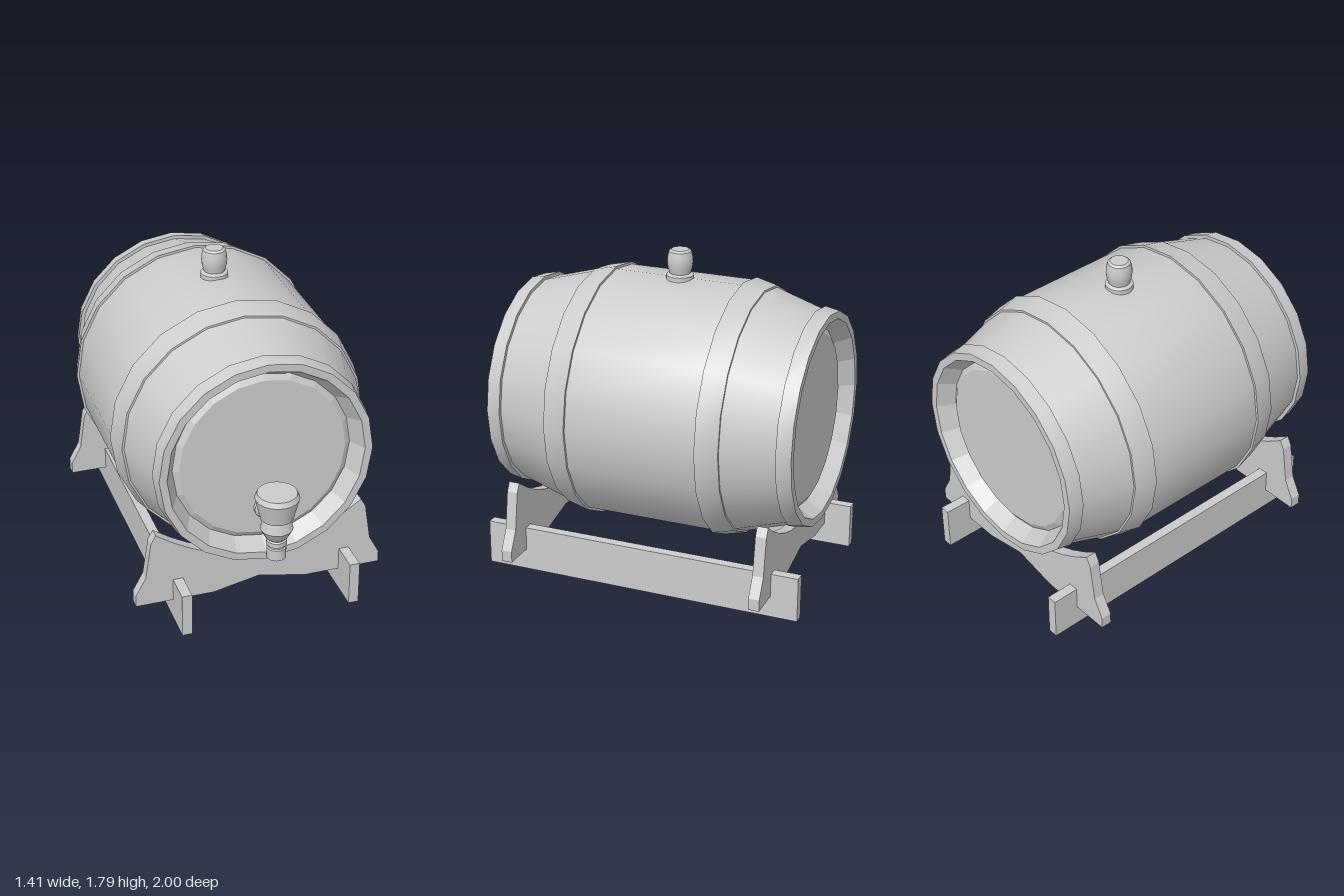
import * as THREE from 'three';
import { toCreasedNormals } from 'three/addons/utils/BufferGeometryUtils.js';

const SIDES = 20;
const AXIS_Y = 0.945;
const smooth = new THREE.MeshStandardMaterial({ color: 0xcccccc });
const flat = new THREE.MeshStandardMaterial({ color: 0xcccccc, flatShading: true });

function addMesh(parent, name, geometry, material = smooth) {
  const mesh = new THREE.Mesh(geometry, material);
  mesh.name = name;
  parent.add(mesh);
  return mesh;
}

// Turned shape from [radius, height] pairs, listed upwards along the outside
function turned(profile, sides = SIDES) {
  const points = profile.map(([r, h]) => new THREE.Vector2(r, h));
  return toCreasedNormals(new THREE.LatheGeometry(points, sides), 0.4);
}

// Turned shape lying along z on the barrel's axis
function lying(profile) {
  return turned(profile).rotateX(Math.PI / 2).translate(0, AXIS_Y, 0);
}

// Band of sloping section, radius r0 at z0 and r1 at z1, closed on the inside
function hoop(z0, r0, z1, r1, thickness) {
  const t = thickness;
  return lying([[r0 - t, z0], [r0, z0], [r1, z1], [r1 - t, z1], [r0 - t, z0]]);
}

function createBarrel() {
  const barrel = new THREE.Group();
  barrel.name = 'barrel';

  addMesh(barrel, 'staves', lying([
    [0.54, -0.955], [0.56, -0.955], [0.577, -0.88], [0.663, -0.6], [0.69, -0.48],
    [0.69, 0.25], [0.663, 0.38], [0.577, 0.68], [0.56, 0.755], [0.54, 0.755],
  ]));

  addMesh(barrel, 'frontEndHoop', hoop(0.68, 0.597, 0.76, 0.582, 0.04));
  addMesh(barrel, 'backEndHoop', hoop(-0.96, 0.582, -0.88, 0.597, 0.04));
  addMesh(barrel, 'frontBellyHoop', hoop(0.25, 0.704, 0.38, 0.674, 0.04));
  addMesh(barrel, 'backBellyHoop', hoop(-0.6, 0.674, -0.48, 0.704, 0.04));

  // Recessed ends: sloping inner rim and a bevelled head
  const rim = [[0.582, 0.76], [0.54, 0.76], [0.487, 0.67]];
  const head = [[0.487, 0.67], [0.455, 0.69], [0, 0.69]];
  for (const [side, isBack] of [['front', false], ['back', true]]) {
    const place = (p) => isBack ? p.map(([r, z]) => [r, -0.2 - z]).reverse() : p;
    addMesh(barrel, side + 'Rim', lying(place(rim)), flat);
    addMesh(barrel, side + 'Head', lying(place(head)), flat);
  }
  return barrel;
}

function createBung() {
  const geometry = turned([
    [0.075, 1.6], [0.075, 1.65], [0.066, 1.657], [0.057, 1.66], [0.066, 1.69],
    [0.07, 1.72], [0.068, 1.75], [0.061, 1.78], [0.048, 1.79], [0, 1.79],
  ]);
  const bung = new THREE.Group();
  addMesh(bung, 'bung', geometry.translate(-0.005, 0, -0.12));
  return bung;
}

function createTap() {
  const tap = new THREE.Group();
  tap.name = 'tap';
  tap.position.set(0.01, 0, 0.882);
  addMesh(tap, 'tapSpoutAndHandle', turned([
    [0, 0.458], [0.052, 0.458], [0.052, 0.52], [0.045, 0.525], [0.045, 0.535],
    [0.055, 0.54], [0.055, 0.565], [0.047, 0.572], [0.06, 0.585], [0.087, 0.635],
    [0.072, 0.695], [0.088, 0.7], [0.118, 0.82], [0.105, 0.848], [0, 0.848],
  ]));
  // Stem running back into the barrel head
  const stem = turned([[0, -0.2], [0.06, -0.2], [0.06, -0.17], [0.047, -0.155], [0.047, 0], [0, 0]]);
  addMesh(tap, 'tapStem', stem.rotateX(Math.PI / 2).translate(0, 0.648, 0));
  return tap;
}

function createStand() {
  const stand = new THREE.Group();
  stand.name = 'stand';

  // Half outline of the cradle board, from bottom middle up to the shoulder
  const half = [[0.26, 0.12], [0.695, 0.12], [0.695, 0.185], [0.638, 0.29], [0.605, 0.5], [0.578, 0.548]];
  const saddle = [];
  for (let i = 1; i < 12; i++) {
    const x = 0.578 * (1 - i / 6);
    saddle.push([x, 0.335 + 0.213 * (x / 0.578) ** 2]);
  }
  const mirrored = half.map(([x, y]) => [-x, y]).reverse();
  const outline = [[0, 0.175], ...half, ...saddle, ...mirrored];
  const shape = new THREE.Shape(outline.map(([x, y]) => new THREE.Vector2(x, y)));

  for (const [name, z] of [['frontCradle', 0.58], ['backCradle', -0.85]]) {
    const board = new THREE.ExtrudeGeometry(shape, { depth: 0.06, bevelEnabled: false });
    addMesh(stand, name, board.translate(0.005, 0, z), flat);
  }
  // Long rails under the barrel
  for (const [name, x] of [['rightRail', -0.455], ['leftRail', 0.492]]) {
    addMesh(stand, name, new THREE.BoxGeometry(0.056, 0.25, 1.806), flat).position.set(x, 0.125, -0.097);
  }
  return stand;
}

export function createModel() {
  const model = new THREE.Group();
  model.name = 'barrelOnStand';
  model.add(createBarrel(), createBung(), createTap(), createStand());
  return model;
}
